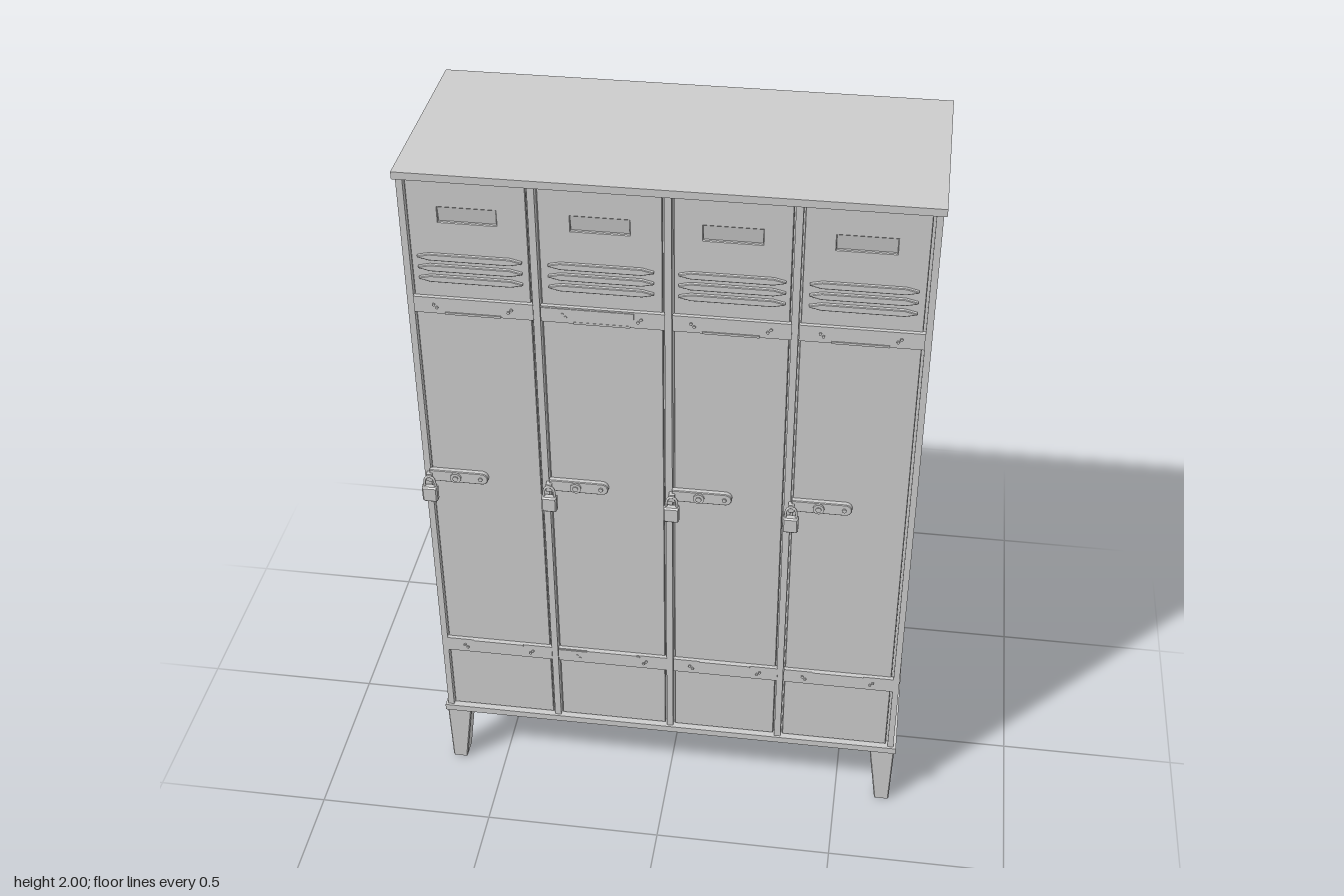
import * as THREE from 'three';

const mat = new THREE.MeshStandardMaterial({ color: 0xcccccc });

function add(parent, name, geo, x = 0, y = 0, z = 0) {
  const m = new THREE.Mesh(geo, mat);
  m.name = name;
  m.position.set(x, y, z);
  parent.add(m);
  return m;
}

// box given by its min and max corners
function box(parent, name, x0, x1, y0, y1, z0, z1) {
  return add(parent, name, new THREE.BoxGeometry(x1 - x0, y1 - y0, z1 - z0),
    (x0 + x1) / 2, (y0 + y1) / 2, (z0 + z1) / 2);
}

function poly(points) {
  return new THREE.Shape(points.map(([x, y]) => new THREE.Vector2(x, y)));
}

function rect(x0, x1, y0, y1) {
  return poly([[x0, y0], [x1, y0], [x1, y1], [x0, y1]]);
}

function extrude(shape, depth, bevel = 0) {
  return new THREE.ExtrudeGeometry(shape, {
    depth, bevelEnabled: bevel > 0, bevelSize: bevel, bevelThickness: bevel,
    bevelOffset: -bevel, bevelSegments: 1, curveSegments: 10,
  });
}

function disc(parent, name, r, depth, x, y, z, sides = 16) {
  const g = new THREE.CylinderGeometry(r, r, depth, sides).rotateX(Math.PI / 2);
  return add(parent, name, g, x, y, z);
}

// door sheet with name slot, louvres and hinge straps
function buildDoor(x0, x1, raisedStrap) {
  const door = new THREE.Group();
  door.name = 'door';
  const cx = (x0 + x1) / 2;
  const sheet = rect(x0, x1, 0.222, 1.976);
  sheet.holes.push(rect(cx - 0.073, cx + 0.073, 1.862, 1.903));
  add(door, 'doorPanel', extrude(sheet, 0.008, 0.002), 0, 0, 0.25);

  // sloped backing of the name slot
  const plate = add(door, 'nameSlot', new THREE.BoxGeometry(0.146, 0.042, 0.002), cx, 1.8825, 0.254);
  plate.rotation.x = 0.15;

  // three tapered louvres
  const w = 0.132;
  const louvre = poly([[-w, -0.002], [-w + 0.03, -0.009], [w - 0.03, -0.009],
    [w, -0.002], [w, 0.002], [w - 0.03, 0.009], [-w + 0.03, 0.009], [-w, 0.002]]);
  for (const y of [1.703, 1.734, 1.765]) {
    add(door, 'louvre', extrude(louvre, 0.008, 0.0018), cx, y, 0.262);
  }

  // hinge straps with screws and a lip
  for (const [y0, lip] of [[1.602, 1.602], [0.442, 0.482]]) {
    box(door, 'hingeStrap', x0 - 0.002, x1 + 0.006, y0, y0 + 0.046, 0.258, 0.271);
    box(door, 'hingeLip', cx - 0.072, cx + 0.072, lip, lip + 0.006, 0.27, 0.274);
    if (raisedStrap) {
      box(door, 'hingeCover', x0, x0 + 0.235, y0 + 0.004, y0 + 0.042, 0.27, 0.273);
    }
    for (const dx of [-0.1, -0.092, 0.092, 0.1]) {
      const dy = Math.abs(dx) > 0.095 ? 0.026 : 0.018;
      disc(door, 'screw', 0.004, 0.004, cx + dx, y0 + dy, 0.273, 8);
    }
  }
  return door;
}

// hasp with a round end, turn knob and hanging padlock
function buildLock() {
  const lock = new THREE.Group();
  lock.name = 'lock';
  const hasp = new THREE.Shape();
  hasp.moveTo(0, -0.018);
  hasp.lineTo(0.142, -0.018);
  hasp.absarc(0.142, 0, 0.018, -Math.PI / 2, Math.PI / 2, false);
  hasp.lineTo(0, 0.018);
  hasp.closePath();
  add(lock, 'hasp', extrude(hasp, 0.012, 0.002), 0, 0, 0.262);
  disc(lock, 'knob', 0.015, 0.006, 0.072, 0, 0.279, 16);
  disc(lock, 'knobCentre', 0.008, 0.004, 0.072, 0, 0.283, 8);
  disc(lock, 'rivet', 0.006, 0.004, 0.14, 0, 0.278, 8);

  box(lock, 'staple', -0.008, 0.008, -0.015, 0.008, 0.266, 0.284);

  // shackle
  const path = new THREE.CatmullRomCurve3([
    [-0.014, -0.045], [-0.014, -0.016], [-0.009, -0.003], [0, 0.001],
    [0.009, -0.003], [0.014, -0.016], [0.014, -0.045],
  ].map(([x, y]) => new THREE.Vector3(x, y, 0)));
  add(lock, 'shackle', new THREE.TubeGeometry(path, 20, 0.0035, 8), 0, 0, 0.283);

  // padlock case with chamfered lower corners
  const body = poly([[-0.016, -0.078], [0.016, -0.078], [0.021, -0.073],
    [0.021, -0.03], [-0.021, -0.03], [-0.021, -0.073]]);
  add(lock, 'padlockCase', extrude(body, 0.014, 0.004), 0, 0, 0.277);
  return lock;
}

export function createModel() {
  const model = new THREE.Group();
  model.name = 'lockerCabinet';

  // carcass: core, sides, top and bottom
  box(model, 'core', -0.65, 0.65, 0.21, 1.985, -0.277, 0.246);
  for (const s of [-1, 1]) {
    box(model, 'sidePanel', Math.min(s * 0.643, s * 0.66), Math.max(s * 0.643, s * 0.66),
      0.21, 1.985, -0.285, 0.268);
  }
  box(model, 'topPlate', -0.668, 0.668, 1.98, 2, -0.295, 0.275);
  box(model, 'bottomPlate', -0.668, 0.668, 0.2, 0.22, -0.295, 0.275);

  // uprights between the lockers
  const uprights = [-0.328, 0.006, 0.322];
  for (const x of uprights) {
    box(model, 'upright', x - 0.009, x + 0.009, 0.21, 1.985, -0.27, 0.268);
  }

  // back panels with narrow grooves between them
  const edges = [-0.643, ...uprights, 0.643];
  for (let i = 0; i < 4; i++) {
    box(model, 'backPanel', edges[i] + 0.006, edges[i + 1] - 0.006, 0.215, 1.982, -0.285, -0.27);
  }

  // doors and locks
  const doors = [[-0.641, -0.342], [-0.315, -0.008], [0.019, 0.309], [0.335, 0.637]];
  const lockX = [-0.645, -0.317, 0.015, 0.334];
  doors.forEach(([x0, x1], i) => {
    model.add(buildDoor(x0, x1, i === 1));
    const lock = buildLock();
    lock.position.set(lockX[i], 1.083, 0);
    model.add(lock);
  });

  // tapered legs
  for (const s of [-1, 1]) {
    const pts = [[0.62, 0], [0.657, 0], [0.66, 0.006], [0.664, 0.203], [0.592, 0.203], [0.617, 0.006]];
    const shape = poly(pts.map(([x, y]) => [x * s, y]));
    for (const z of [-0.285, 0.21]) {
      add(model, 'leg', extrude(shape, 0.052, 0.003), 0, 0.0, z + 0.003);
    }
  }
  return model;
}
